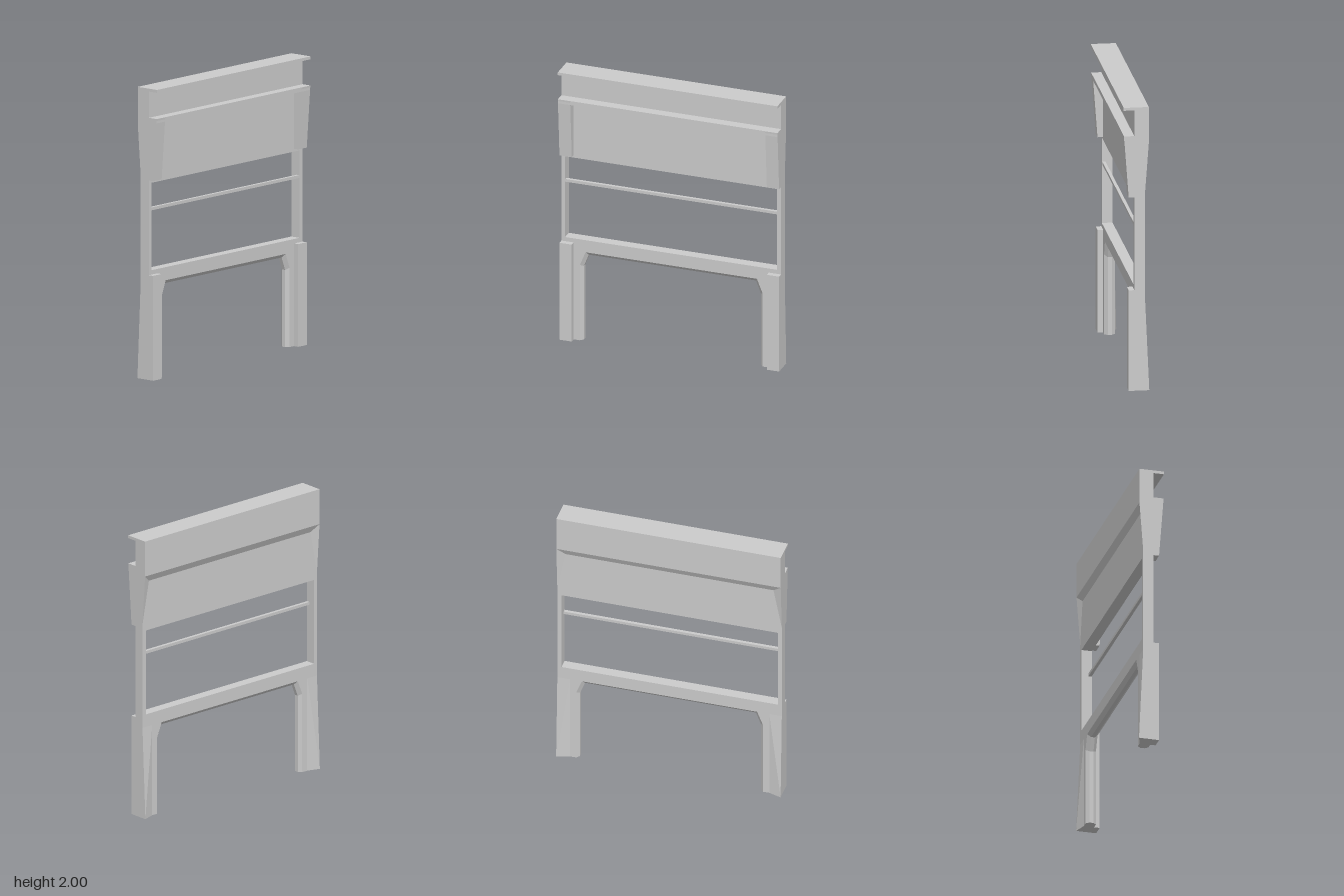
import * as THREE from 'three';

const W = 0.788;       // half width
const F = 0.015;       // front plane of the frame
const B = -0.058;      // back plane of the frame
const BACK = -0.084;   // rearmost plane of the top wall
const FOOT = { '-1': 0, '1': 0.015 }; // the left foot ends slightly higher

const material = new THREE.MeshStandardMaterial({ color: 0xcccccc, flatShading: true });

export function createModel() {
  const group = new THREE.Group();

  function add(name, geometry) {
    const mesh = new THREE.Mesh(geometry, material);
    mesh.name = name;
    group.add(mesh);
  }

  // Box given by its limits
  function box(name, x0, x1, y0, y1, z0, z1) {
    const g = new THREE.BoxGeometry(Math.abs(x1 - x0), y1 - y0, z1 - z0);
    g.translate((x0 + x1) / 2, (y0 + y1) / 2, (z0 + z1) / 2);
    add(name, g);
  }

  // Solid through matching convex cross-sections, capped at both ends
  function loft(name, sections) {
    const n = sections[0].length;
    const tris = [];
    for (let s = 0; s < sections.length - 1; s++) {
      for (let i = 0; i < n; i++) {
        const j = (i + 1) % n;
        const a = sections[s][i], b = sections[s][j];
        const c = sections[s + 1][j], d = sections[s + 1][i];
        tris.push([a, b, c], [a, c, d]);
      }
    }
    const first = sections[0], last = sections[sections.length - 1];
    for (let i = 1; i < n - 1; i++) {
      tris.push([first[0], first[i + 1], first[i]], [last[0], last[i], last[i + 1]]);
    }
    // Turn the faces outward whichever way the sections run
    let volume = 0;
    const v = tris.map((t) => t.map((p) => new THREE.Vector3(...p)));
    v.forEach(([a, b, c]) => { volume += a.dot(b.clone().cross(c)); });
    if (volume < 0) v.forEach((t) => t.reverse());
    const g = new THREE.BufferGeometry().setFromPoints(v.flat());
    g.computeVertexNormals();
    add(name, g);
  }

  // Frame plate: legs, crossbeam, posts and panel with the window cut out
  const plate = new THREE.Shape([
    [-W, FOOT[-1]], [-0.655, FOOT[-1]], [-0.655, 0.56], [-0.615, 0.66],
    [0.615, 0.66], [0.655, 0.56], [0.655, FOOT[1]], [W, FOOT[1]], [W, 1.99], [-W, 1.99],
  ].map((p) => new THREE.Vector2(...p)));
  plate.holes.push(new THREE.Path([
    [-0.762, 0.75], [-0.762, 1.35], [0.758, 1.35], [0.758, 0.75],
  ].map((p) => new THREE.Vector2(...p))));
  const frame = new THREE.ExtrudeGeometry(plate, { depth: F - B, bevelEnabled: false });
  frame.translate(0, 0, B);
  add('frame', frame);

  // Raised lip around the lower opening, chamfered front and back
  const outer = [[-0.655, FOOT[-1]], [-0.655, 0.56], [-0.615, 0.66],
    [0.615, 0.66], [0.655, 0.56], [0.655, FOOT[1]]];
  const inner = [[-0.635, FOOT[-1]], [-0.635, 0.545], [-0.6, 0.635],
    [0.6, 0.635], [0.635, 0.545], [0.635, FOOT[1]]];
  loft('openingLip', outer.map((o, i) => [
    [...o, F], [...inner[i], -0.008], [...inner[i], -0.035], [...o, B],
  ]));

  // Top: rear wall thickness, overhanging cap and the front ledge
  box('upperWall', -W, W, 1.75, 2, BACK, F);
  box('topCap', -W, W, 1.98, 2, BACK, 0.087);
  box('frontLedge', -W, W, 1.77, 1.8, F, 0.084);

  // Sloped underside of the rear wall
  loft('rearWallSlope', [-W, W].map((x) => [[x, 1.75, B], [x, 1.75, BACK], [x, 1.7, B]]));

  // Crossbar in the window
  box('windowRail', -0.765, 0.765, 1.16, 1.18, -0.01, 0.012);

  for (const s of [-1, 1]) {
    // Tapered block at the end of the ledge
    const blockSection = (y, z) => [
      [s * 0.7, y, F], [s * W, y, F], [s * W, y, z], [s * 0.7, y, z],
    ];
    loft('upperEndBlock', [blockSection(1.37, 0.053), blockSection(1.8, 0.085)]);

    // Pilaster on the leg
    box('legBlock', s * 0.7, s * W, FOOT[s], 0.72, F, 0.053);

    // Rear flares that deepen toward the outer edge
    const flare = (x, y, z) => [[s * x, y, B], [s * W, y, B], [s * W, y, z]];
    loft('legFlare', [flare(0.7, FOOT[s], -0.087), flare(0.7, 0.66, B)]);
    loft('upperFlare', [flare(0.72, 1.4, B), flare(0.72, 1.75, BACK)]);
  }

  return group;
}
